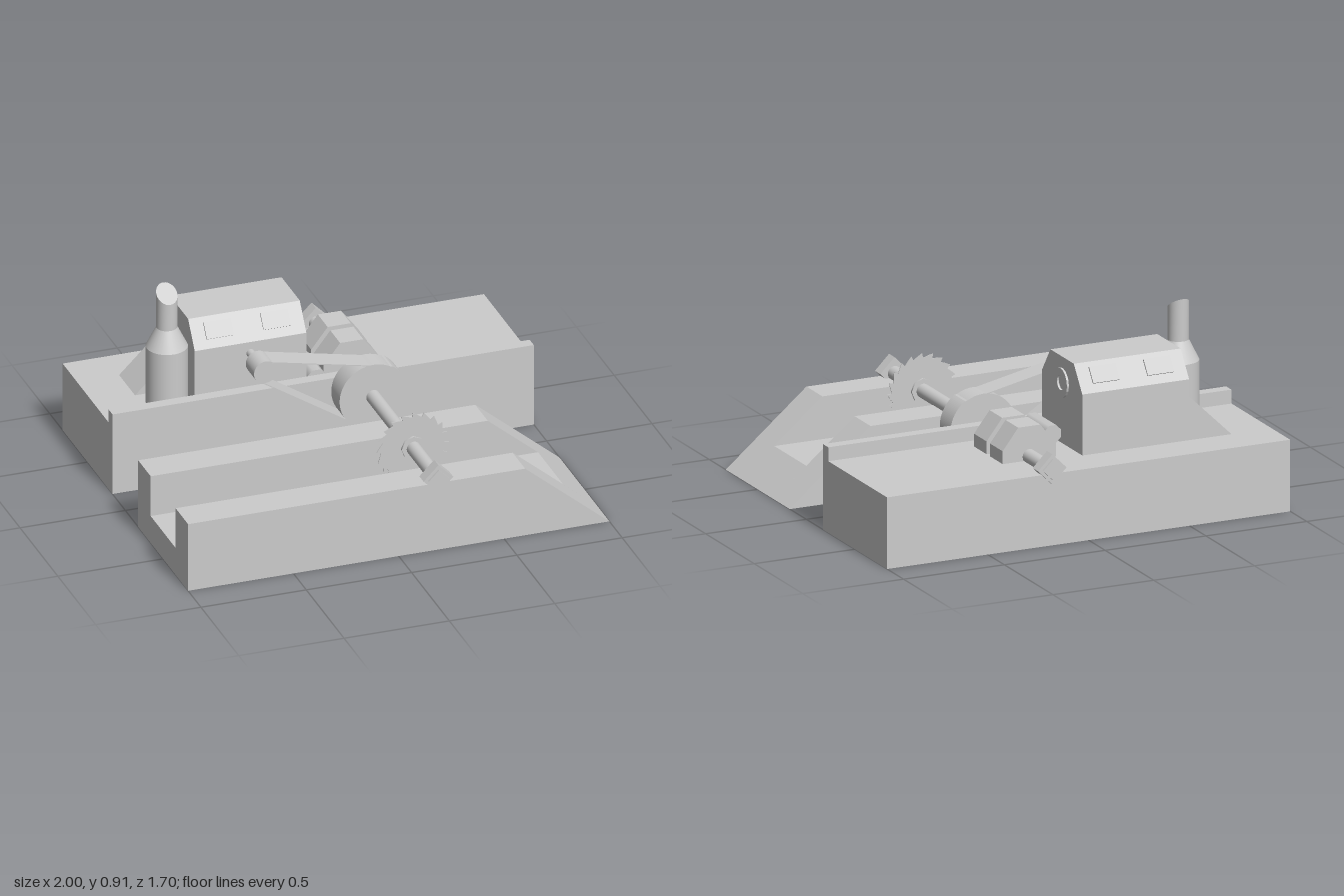
import * as THREE from 'three';

export function createModel() {
  const model = new THREE.Group();
  const grey = new THREE.MeshStandardMaterial({ color: 0xcccccc, side: THREE.DoubleSide });
  const AX = 0.185, AY = 0.355; // drive shaft axis

  const add = (name, geo, x = 0, y = 0, z = 0) => {
    const m = new THREE.Mesh(geo, grey);
    m.name = name;
    m.position.set(x, y, z);
    model.add(m);
    return m;
  };
  const shapeOf = pts => new THREE.Shape(pts.map(p => new THREE.Vector2(p[0], p[1])));
  const extrude = (shape, depth) =>
    new THREE.ExtrudeGeometry(shape, { depth, bevelEnabled: false, curveSegments: 32 });
  const box = (name, x0, x1, y0, y1, z0, z1) =>
    add(name, new THREE.BoxGeometry(x1 - x0, y1 - y0, z1 - z0), (x0 + x1) / 2, (y0 + y1) / 2, (z0 + z1) / 2);
  // profile in (x, y), running from z0 to z1
  const alongZ = (name, pts, z0, z1) => add(name, extrude(shapeOf(pts), z1 - z0), 0, 0, z0);
  // profile in (z, y), running from x0 to x1
  const alongX = (name, pts, x0, x1) =>
    add(name, extrude(shapeOf(pts.map(([z, y]) => [-z, y])), x1 - x0).rotateY(Math.PI / 2), x0);
  // cylinder lying along z
  const rod = (name, r, x, y, z0, z1, sides = 32) =>
    add(name, new THREE.CylinderGeometry(r, r, z1 - z0, sides).rotateX(Math.PI / 2), x, y, (z0 + z1) / 2);

  // Rear bed with a raised lip
  alongX('rearBed', [[-0.83, 0], [-0.17, 0], [-0.17, 0.4], [-0.225, 0.4], [-0.225, 0.335], [-0.83, 0.335]], -1, 1);

  // Front trough with a sloped end
  const wall = [[-1, 0], [1, 0], [0.6, 0.335], [-1, 0.335]];
  alongZ('troughWall', wall, 0.17, 0.335);
  alongZ('troughWall', wall, 0.665, 0.83);
  alongZ('troughFloor', [[-1, 0], [1, 0], [0.839, 0.135], [-1, 0.135]], 0.335, 0.665);

  // Engine housing, with louvres on both slopes
  alongX('engineHousing', [[-0.64, 0.335], [-0.225, 0.335], [-0.225, 0.62], [-0.312, 0.74],
    [-0.553, 0.74], [-0.64, 0.62]], -0.59, -0.06);
  for (const x of [-0.46, -0.19]) for (const s of [1, -1]) {
    const vent = add('louvre', new THREE.BoxGeometry(0.13, 0.078, 0.012), x, 0.687, -0.4325 + s * 0.16);
    vent.rotation.x = -s * 0.62;
    if (s < 0) vent.rotation.x = 0.62;
  }
  alongZ('engineRamp', [[-0.8, 0.335], [-0.59, 0.335], [-0.59, 0.54]], -0.64, -0.43);

  // Round cap on the engine's end
  const cap = new THREE.Shape().absarc(0, 0, 0.068, 0, Math.PI * 2);
  cap.holes.push(new THREE.Path().absarc(0, 0, 0.035, 0, Math.PI * 2, true));
  const capGeo = new THREE.ExtrudeGeometry(cap, { depth: 0.01, bevelEnabled: false, curveSegments: 8 });
  add('endCap', capGeo.rotateY(Math.PI / 2), -0.06, 0.62, -0.435);
  rod('sideRoller', 0.045, -0.012, 0.383, -0.435, -0.225, 8).rotation.z = Math.PI / 8;

  // Exhaust stack with a slanted mouth
  const SX = -0.685, SZ = -0.33;
  add('stackBase', new THREE.CylinderGeometry(0.095, 0.095, 0.28, 32), SX, 0.475, SZ);
  add('stackCone', new THREE.CylinderGeometry(0.048, 0.095, 0.095, 32), SX, 0.6625, SZ);
  const pipe = new THREE.CylinderGeometry(0.048, 0.048, 0.165, 32);
  const p = pipe.attributes.position;
  for (let i = 0; i < p.count; i++)
    if (p.getY(i) > 0) p.setY(i, p.getY(i) - p.getZ(i) * 0.7);
  pipe.computeVertexNormals();
  add('stackPipe', pipe, SX, 0.7925, SZ);

  // Drive shaft with square end nuts
  rod('driveShaft', 0.033, AX, AY, -0.84, 0.84);
  for (const s of [1, -1]) {
    add('endNut', new THREE.BoxGeometry(0.1, 0.1, 0.056), AX, AY + 0.004, s * 0.812).rotation.z = Math.PI / 4;
    add('endNutBoss', new THREE.BoxGeometry(0.07, 0.07, 0.02), AX, AY + 0.004, s * 0.84).rotation.z = Math.PI / 4;
  }

  // Bearing blocks
  for (const z of [-0.603, -0.438])
    alongZ('bearingBlock', [[0.052, 0.335], [0.317, 0.335], [0.317, 0.395], [0.24, 0.495],
      [0.13, 0.495], [0.052, 0.395]], z, z + 0.13);

  // Pulleys and the belt around them
  const PX = -0.325, PY = 0.565, R = 0.164, r = 0.056, Z0 = -0.132, Z1 = -0.022;
  rod('engineAxle', 0.02, PX, PY, -0.24, -0.12, 16);
  rod('smallPulley', r - 0.004, PX, PY, Z0, Z1);
  rod('largePulley', R - 0.004, AX, AY, Z0, Z1, 48);
  const dir = Math.atan2(AY - PY, AX - PX);
  const spread = Math.acos((r - R) / Math.hypot(AX - PX, AY - PY));
  const loop = (path, inset) => path
    .absarc(AX, AY, R - inset, dir + spread - Math.PI, dir - spread + Math.PI, false)
    .absarc(PX, PY, r - inset, dir + Math.PI - spread, dir + Math.PI + spread, false);
  const belt = loop(new THREE.Shape(), 0);
  belt.holes.push(loop(new THREE.Path(), 0.005));
  // the hole must follow the same tangent angles as the outer loop
  add('driveBelt', extrude(belt, Z1 - Z0), 0, 0, Z0);

  // Saw blade with its clamp hub
  const teeth = 20, rim = [];
  for (let i = 0; i < teeth; i++)
    for (const [t, rad] of [[0, 0.172], [0.08, 0.15], [0.55, 0.16]]) {
      const a = (i + t) / teeth * Math.PI * 2;
      rim.push([AX + rad * Math.cos(a), AY + rad * Math.sin(a)]);
    }
  alongZ('sawBlade', rim, 0.498, 0.502);
  rod('bladeHub', 0.057, AX, AY, 0.488, 0.512, 8);
  return model;
}
